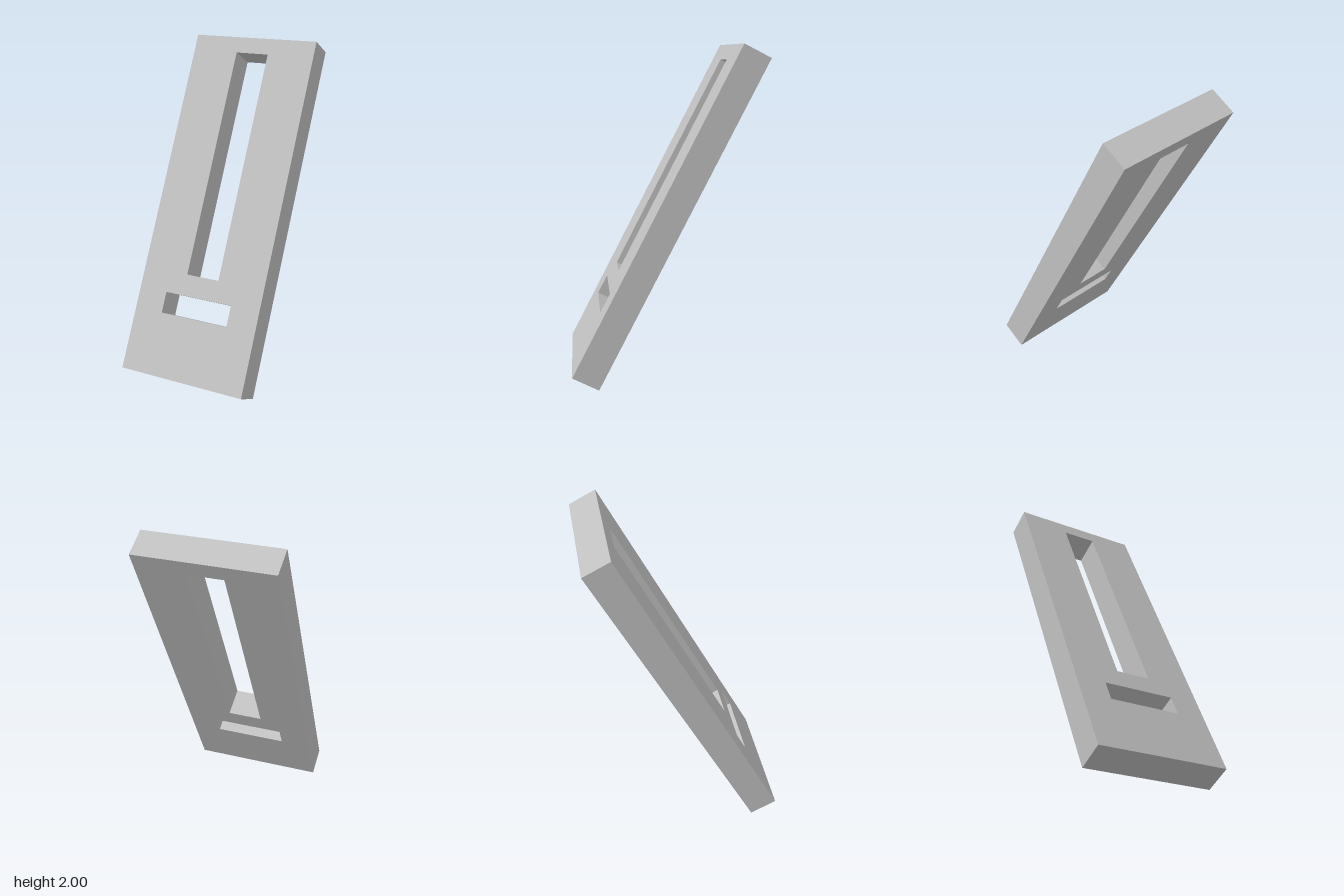
import * as THREE from 'three';

const WIDTH = 0.816, LENGTH = 2.159, THICKNESS = 0.176, TILT = 0.4748;

// Traces a rectangle centred on x = 0 between two heights.
function rectangle(path, halfWidth, bottom, top) {
  path.moveTo(-halfWidth, bottom);
  path.lineTo(halfWidth, bottom);
  path.lineTo(halfWidth, top);
  path.lineTo(-halfWidth, top);
  path.closePath();
  return path;
}

export function createModel() {
  const model = new THREE.Group();
  model.name = 'slottedPlate';
  const grey = new THREE.MeshStandardMaterial({ color: 0xc0c0c0 });
  grey.name = 'light grey';

  // Flat plate with a long upright slot and a short cross slot
  const outline = rectangle(new THREE.Shape(), WIDTH / 2, 0, LENGTH);
  outline.holes.push(
    rectangle(new THREE.Path(), 0.107, 0.637, 2.058),
    rectangle(new THREE.Path(), 0.222, 0.379, 0.508),
  );
  const geometry = new THREE.ExtrudeGeometry(outline, { depth: THICKNESS, bevelEnabled: false });

  // Lean the plate back, resting on its lower rear edge
  const plate = new THREE.Mesh(geometry, grey);
  plate.name = 'plate';
  plate.rotation.x = -TILT;
  plate.position.z = (LENGTH * Math.sin(TILT) - THICKNESS * Math.cos(TILT)) / 2;
  model.add(plate);
  return model;
}
